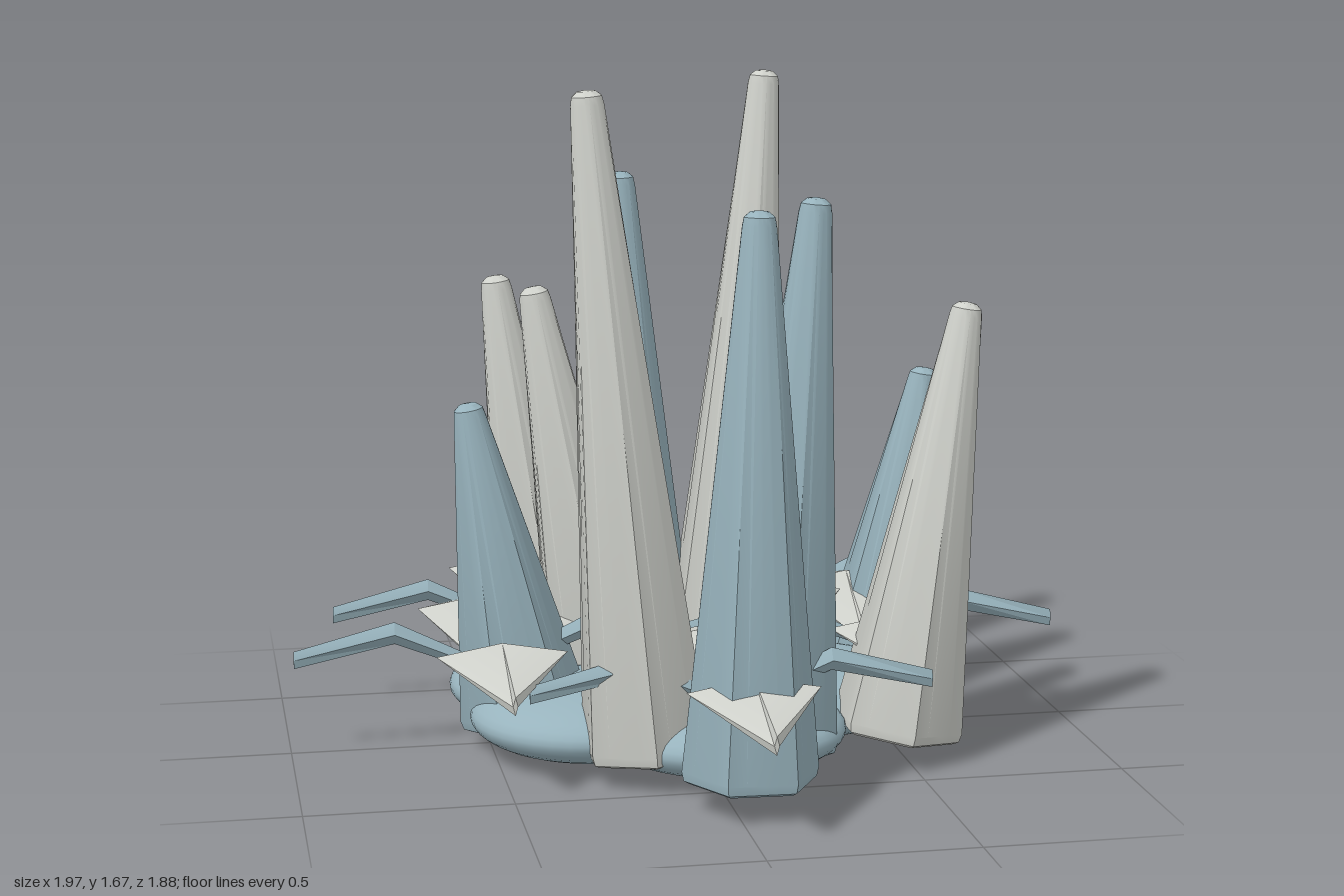
import * as THREE from 'three';
import { toCreasedNormals } from 'three/addons/utils/BufferGeometryUtils.js';

const blue = new THREE.MeshStandardMaterial({ color: 0x98b3bd });
blue.name = 'dusty blue';
const grey = new THREE.MeshStandardMaterial({ color: 0xcfd1cb });
grey.name = 'pale grey';

// Tapered column: hexagonal at the foot, blending to a round tip
function spikeGeometry(length, yaw) {
  const r = 0.165;
  const profile = [
    [0, 0], [r - 0.02, 0], [r - 0.005, 0.008], [r, 0.03],
    [0.04, length - 0.035], [0.036, length - 0.015], [0.022, length - 0.003], [0, length],
  ].map(([x, y]) => new THREE.Vector2(x, y));
  const geo = new THREE.LatheGeometry(profile, 24);
  const pos = geo.attributes.position;
  for (let i = 0; i < pos.count; i++) {
    const x = pos.getX(i), z = pos.getZ(i);
    const sixth = Math.PI / 3;
    const phi = Math.atan2(x, z) + Math.PI * 2 + 1e-6;
    const hex = Math.cos(sixth / 2) / Math.cos((phi % sixth) - sixth / 2);
    const k = THREE.MathUtils.lerp(hex, 1, Math.min(1, pos.getY(i) / (length - 0.035)));
    pos.setX(i, x * k);
    pos.setZ(i, z * k);
  }
  geo.rotateY(yaw);
  return toCreasedNormals(geo, 0.45);
}

// Arched leaf running along +z, with a diamond cross-section
function leafGeometry(width) {
  const sections = [ // distance, height, half width, half thickness
    [0, 0.2, 0.008, 0.015],
    [0.24, 0.305, width, 0.028],
    [0.49, 0.245, 0.006, 0.022],
  ];
  const verts = [], index = [];
  sections.forEach(([d, y, w, t], i) => {
    verts.push(w, y, d, 0, y + t, d, -w, y, d, 0, y - t, d);
    if (i === 0) return;
    for (let k = 0; k < 4; k++) {
      const a = (i - 1) * 4 + k, b = (i - 1) * 4 + (k + 1) % 4;
      index.push(a, b, b + 4, a, b + 4, a + 4);
    }
  });
  index.push(0, 2, 1, 0, 3, 2, 8, 9, 10, 8, 10, 11);
  const geo = new THREE.BufferGeometry();
  geo.setAttribute('position', new THREE.Float32BufferAttribute(verts, 3));
  geo.setIndex(index);
  return toCreasedNormals(geo, 0.4);
}

export function createModel() {
  const model = new THREE.Group();
  const add = (parent, name, geo, material) => {
    const mesh = new THREE.Mesh(geo, material);
    mesh.name = name;
    parent.add(mesh);
    return mesh;
  };

  // Overlapping flattened pads forming the base: x, z, radius
  const pad = new THREE.SphereGeometry(1, 40, 20);
  [
    [0.09, -0.32, 0.3], [0.32, -0.02, 0.305], [0.04, 0.27, 0.31],
    [-0.26, 0.1, 0.3], [-0.275, -0.2, 0.305],
  ].forEach(([x, z, r]) => {
    const mesh = add(model, 'basePad', pad, blue);
    mesh.position.set(x, 0.095, z);
    mesh.scale.set(r, 0.095, r);
  });

  // Leaning spikes: material, foot x, foot z, tip x, tip y, tip z, yaw
  const up = new THREE.Vector3(0, 1, 0);
  const turn = Math.PI / 6;
  [
    [grey, -0.16, 0.355, -0.3, 1.67, 0.36, 0],
    [grey, 0.15, -0.27, 0.26, 1.67, -0.275, 0],
    [grey, -0.28, -0.38, -0.43, 1.14, -0.385, 0],
    [grey, -0.17, -0.16, -0.36, 1.14, -0.16, 0],
    [grey, 0.48, 0.3, 0.645, 1.14, 0.3, 0],
    [blue, 0.04, 0.63, 0.06, 1.41, 0.61, turn],
    [blue, -0.07, -0.34, -0.11, 1.41, -0.33, turn],
    [blue, 0.15, 0.36, 0.25, 1.41, 0.365, 0],
    [blue, 0.19, -0.045, 0.34, 0.88, -0.06, turn],
    [blue, -0.41, 0.025, -0.55, 0.88, 0.025, turn],
    [blue, 0.58, -0.295, 0.7, 0.88, -0.285, 0],
  ].forEach(([material, fx, fz, tx, ty, tz, yaw]) => {
    const foot = new THREE.Vector3(fx, 0.065, fz);
    const axis = new THREE.Vector3(tx, ty, tz).sub(foot);
    const mesh = add(model, 'spike', spikeGeometry(axis.length(), yaw), material);
    mesh.position.copy(foot);
    mesh.quaternion.setFromUnitVectors(up, axis.normalize());
  });

  // Four-leaf rosettes: broad grey leaves front and back, narrow blue ones to the sides
  const broad = leafGeometry(0.16), narrow = leafGeometry(0.022);
  [[-0.375, -0.395], [0.3, -0.455], [0.495, -0.06], [-0.5, 0.035], [0.035, 0.45]].forEach(([x, z]) => {
    const rosette = new THREE.Group();
    rosette.name = 'rosette';
    rosette.position.set(x, 0, z);
    for (let i = 0; i < 4; i++) {
      const side = i % 2 === 1;
      const leaf = add(rosette, side ? 'sideLeaf' : 'broadLeaf', side ? narrow : broad, side ? blue : grey);
      leaf.rotation.y = i * Math.PI / 2 + (side ? -0.03 : 0);
    }
    model.add(rosette);
  });

  return model;
}
